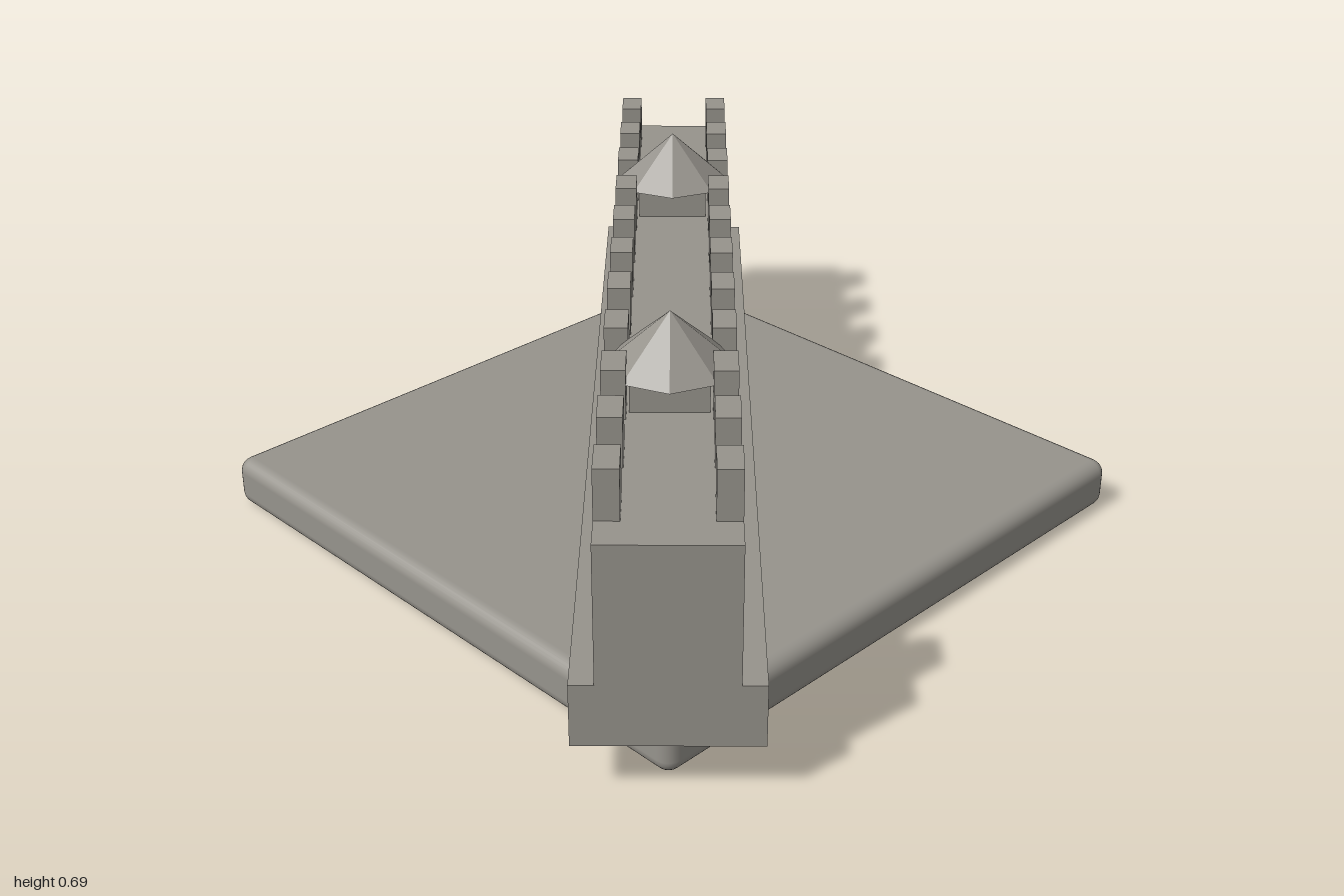
import * as THREE from 'three';
import { RoundedBoxGeometry } from 'three/addons/geometries/RoundedBoxGeometry.js';

export function createModel() {
  const model = new THREE.Group();
  model.name = 'battlementWall';
  const stone = new THREE.MeshStandardMaterial({ color: 0x96938c });
  stone.name = 'stone grey';
  const roofStone = stone.clone();
  roofStone.flatShading = true;

  const add = (name, geometry, x, y, z, parent = model, material = stone) => {
    const mesh = new THREE.Mesh(geometry, material);
    mesh.name = name;
    mesh.position.set(x, y, z);
    parent.add(mesh);
    return mesh;
  };
  // box given by its bottom and top heights
  const block = (name, w, y0, y1, d, x = 0, z = 0, parent = model) =>
    add(name, new THREE.BoxGeometry(w, y1 - y0, d), x, (y0 + y1) / 2, z, parent);

  // rounded square slab turned to a diamond
  const slab = add('baseSlab', new RoundedBoxGeometry(1.354, 0.11, 1.354, 3, 0.03), 0, 0.055, 0);
  slab.rotation.y = Math.PI / 4;

  // stepped wall
  block('wallFooting', 0.342, 0.112, 0.24, 2);
  block('wallBody', 0.252, 0.24, 0.52, 2);

  // two rows of merlons
  const merlons = new THREE.Group();
  merlons.name = 'merlons';
  model.add(merlons);
  for (const side of [-1, 1]) {
    for (let i = -5; i <= 5; i++) {
      block('merlon', 0.046, 0.52, 0.62, 0.082, side * 0.103, i * 0.177, merlons);
    }
  }

  // two small turrets with eight-sided roofs
  for (const z of [-0.47, 0.47]) {
    const turret = new THREE.Group();
    turret.name = z > 0 ? 'frontTurret' : 'backTurret';
    model.add(turret);
    block('turretShaft', 0.15, 0.52, 0.585, 0.15, 0, z, turret);
    add('turretRoof', new THREE.ConeGeometry(0.125, 0.108, 8), 0, 0.638, z, turret, roofStone);
  }
  return model;
}
